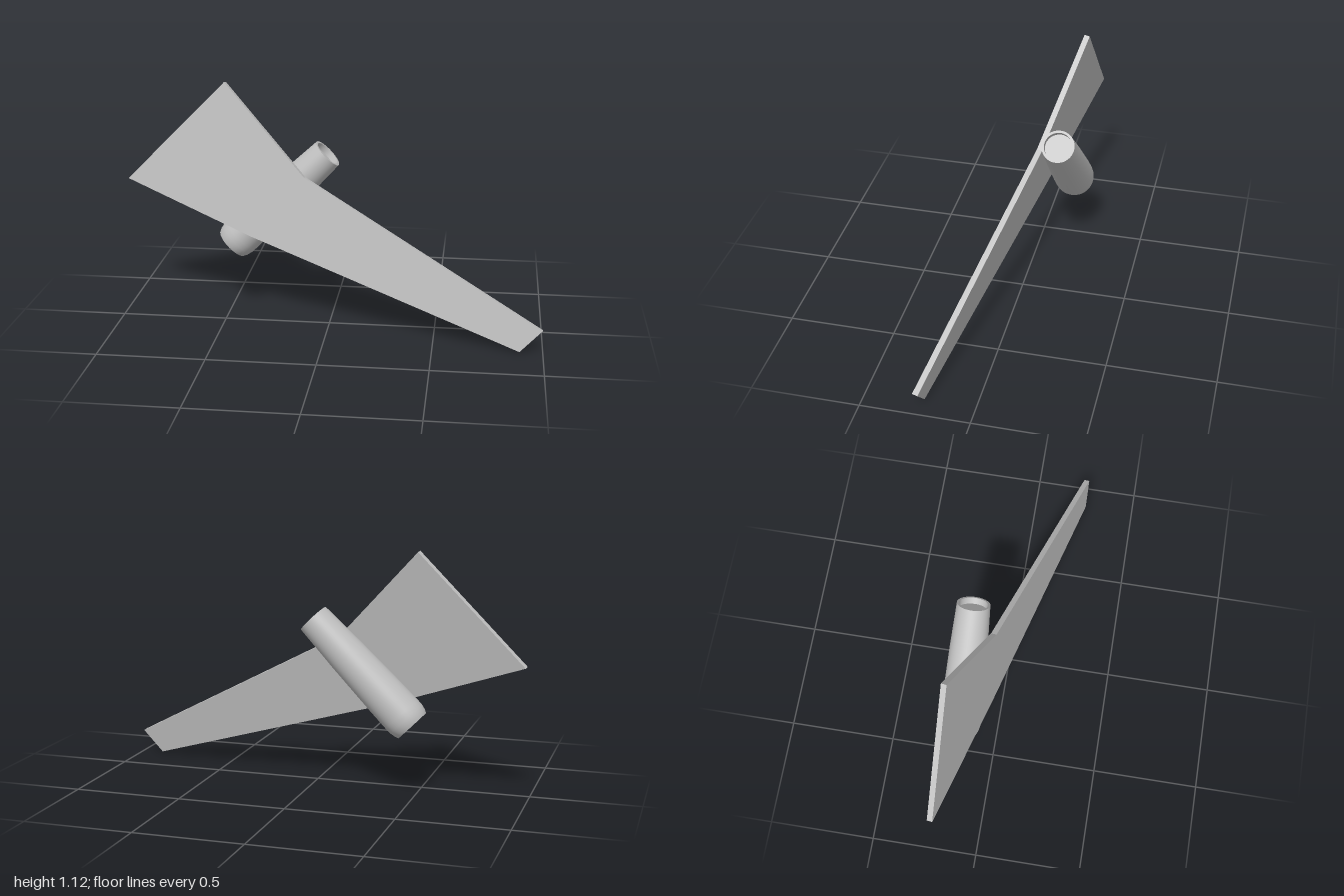
import * as THREE from 'three';

export function createModel() {
  const group = new THREE.Group();
  const grey = new THREE.MeshStandardMaterial({ color: 0xbfbfbf });
  grey.name = 'lightGrey';

  // Wing axes: span slopes forward to the tip, chord runs diagonally up
  const span = new THREE.Vector3(1, -1, 0.346);
  const stretch = span.length() / 2;
  span.normalize();
  const chord = new THREE.Vector3(1, 1, 0).normalize();
  const normal = new THREE.Vector3().crossVectors(span, chord);

  // Wing planform, given as front-face x, y and laid out in the tilted plane
  const outline = [
    [-1, 0.635], [-0.38, 0.41], [0.895, 0.006], [0.994, 0.111], [-0.125, 0.706], [-0.52, 1.12],
  ].map(([x, y]) => new THREE.Vector2((x - y) * stretch, (x + y) * Math.SQRT1_2));
  const thickness = 0.026;
  const wingGeometry = new THREE.ExtrudeGeometry(new THREE.Shape(outline), { depth: thickness, bevelEnabled: false });
  wingGeometry.translate(0, 0, -thickness);
  wingGeometry.applyMatrix4(new THREE.Matrix4().makeBasis(span, chord, normal));
  wingGeometry.translate(0, 0, 0.105);
  const wing = new THREE.Mesh(wingGeometry, grey);
  wing.name = 'wing';
  group.add(wing);

  // Engine built along its own axis from intake (y = 0) to exhaust
  const engine = new THREE.Group();
  engine.name = 'engine';
  const length = 0.655;
  const addLathe = (name, points) => {
    const profile = points.map(([r, y]) => new THREE.Vector2(r, y));
    const mesh = new THREE.Mesh(new THREE.LatheGeometry(profile, 48), grey);
    mesh.name = name;
    engine.add(mesh);
  };
  addLathe('nacelle', [[0.084, 0], [0.091, 0.016], [0.096, 0.04], [0.097, 0.07], [0.095, 0.18], [0.087, 0.43], [0.076, length]]);
  addLathe('intakeRim', [[0.074, 0], [0.084, 0]]);
  addLathe('intakeWall', [[0.074, 0.03], [0.074, 0]]);
  addLathe('intakeFace', [[0, 0.03], [0.074, 0.03]]);
  addLathe('exhaustRim', [[0.076, length], [0.065, length]]);
  addLathe('exhaustWall', [[0.065, length], [0.065, length - 0.03]]);
  addLathe('exhaustFace', [[0.065, length - 0.03], [0, length - 0.03]]);
  engine.position.set(-0.49, 0.332, -0.158);
  engine.rotation.z = -Math.PI / 4;
  group.add(engine);

  return group;
}
